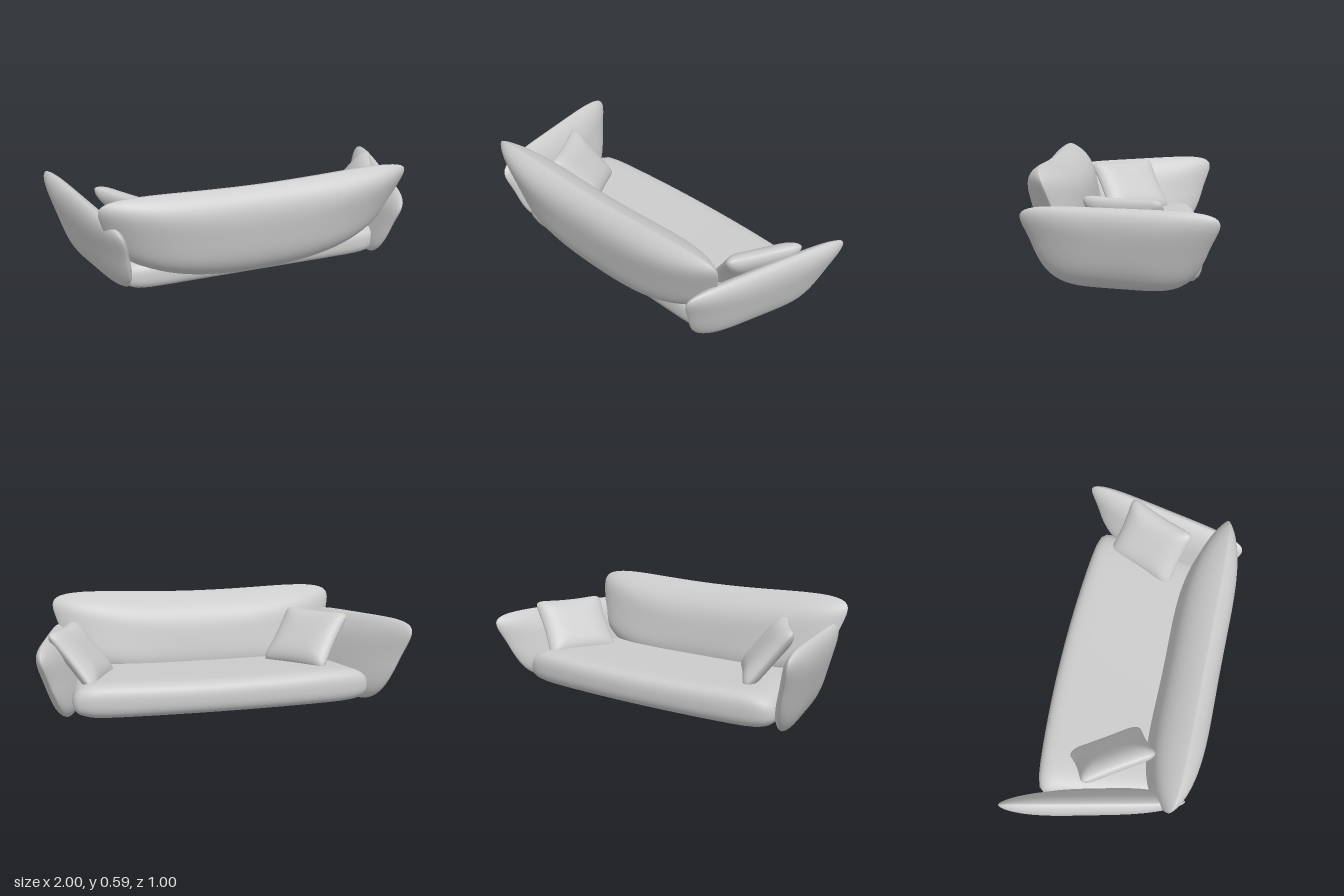
import * as THREE from 'three';
import { mergeVertices } from 'three/addons/utils/BufferGeometryUtils.js';

const material = new THREE.MeshStandardMaterial({ color: 0xcccccc });

// Upholstered pad: a squared-off disc (u, v) with padding w in [-1, 1] on both faces.
// n squares the outline; p and k shape how the padding fades to the rim.
function pad(name, { n, p, k }, place) {
  let geo = new THREE.SphereGeometry(1, 112, 72).rotateX(Math.PI / 2);
  geo.deleteAttribute('uv');
  geo.deleteAttribute('normal');
  geo = mergeVertices(geo, 1e-5);
  const pos = geo.attributes.position;
  for (let i = 0; i < pos.count; i++) {
    const x = pos.getX(i), y = pos.getY(i), z = pos.getZ(i);
    const rho = Math.min(1, Math.hypot(x, y));
    const c = rho > 0 ? Math.abs(x) / rho : 1, s = rho > 0 ? Math.abs(y) / rho : 0;
    const r = 1 / Math.pow(c ** n + s ** n, 1 / n);
    const w = Math.abs(z) < 1e-6 ? 0 : Math.sign(z) * Math.pow(Math.max(0, 1 - rho ** p), k);
    pos.setXYZ(i, ...place(x * r, y * r, w));
  }
  geo.computeVertexNormals();
  const mesh = new THREE.Mesh(geo, material);
  mesh.name = name;
  return mesh;
}

// Splayed side panel, leaning outward, with a narrow rounded foot; tilt raises its open end
function arm(name, side, height, tilt, zMid) {
  return pad(name, { n: 5, p: 3.2, k: 0.62 }, (u, v, w) => [
    side * (0.83 + (0.1 + 0.02 * v) * u + 0.058 * v) + 0.072 * w,
    0.005 + (v + 1) / 2 * (height + tilt * u),
    zMid - u * (0.422 + 0.07 * v + 0.045 * v * Math.abs(v)),
  ]);
}

// Loose cushion; edge is its long direction, slope points up its leaning face
function cushion(name, centre, edge, slope) {
  const mesh = pad(name, { n: 10, p: 4, k: 0.6 }, (u, v, w) => [
    0.217 * u * (1 - 0.07 * (1 - v * v)),
    0.193 * v * (1 - 0.07 * (1 - u * u)),
    0.055 * w,
  ]);
  const e = new THREE.Vector3(...edge).normalize();
  const normal = e.clone().cross(new THREE.Vector3(...slope)).normalize();
  const up = normal.clone().cross(e);
  mesh.applyMatrix4(new THREE.Matrix4().makeBasis(e, up, normal));
  mesh.position.set(...centre);
  return mesh;
}

export function createModel() {
  const group = new THREE.Group();
  group.name = 'sofa';

  // Seat: wider and bowed along its open edge, slightly raised at both ends
  group.add(pad('seat', { n: 16, p: 12, k: 0.42 }, (u, v, w) => {
    const t = (v + 1) / 2;
    return [
      u * (0.73 + 0.1 * t),
      0.108 + w * (w > 0 ? 0.078 + 0.02 * t + 0.012 * u * u : 0.086),
      0.34 - t * (0.71 + 0.05 * (1 - u * u)),
    ];
  }));

  // Backrest: leaning lens with thin pointed ends and a curved lower edge
  group.add(pad('backrest', { n: 5, p: 3.5, k: 0.8 }, (u, v, w) => {
    const t = (v + 1) / 2;
    const bottom = 0.05 + 0.14 * Math.abs(u) ** 2.5, top = 0.575 + 0.05 * u * u;
    return [
      u * (0.75 + 0.14 * t) - 0.01,
      bottom + (top - bottom) * t,
      0.32 + 0.09 * t - 0.06 * u * u * (1 - t) + (w > 0 ? 0.118 + 0.04 * u * u : 0.17) * w,
    ];
  }));

  group.add(arm('leftArm', 1, 0.413, 0, 0.022));
  group.add(arm('rightArm', -1, 0.467, 0.02, -0.03));

  group.add(cushion('leftCushion', [0.73, 0.307, -0.04], [0.17, 0, -0.38], [0.19, 0.26, 0.085]));
  group.add(cushion('rightCushion', [-0.575, 0.332, 0.01], [-0.22, 0, -0.34], [-0.19, 0.27, 0.12]));
  return group;
}
